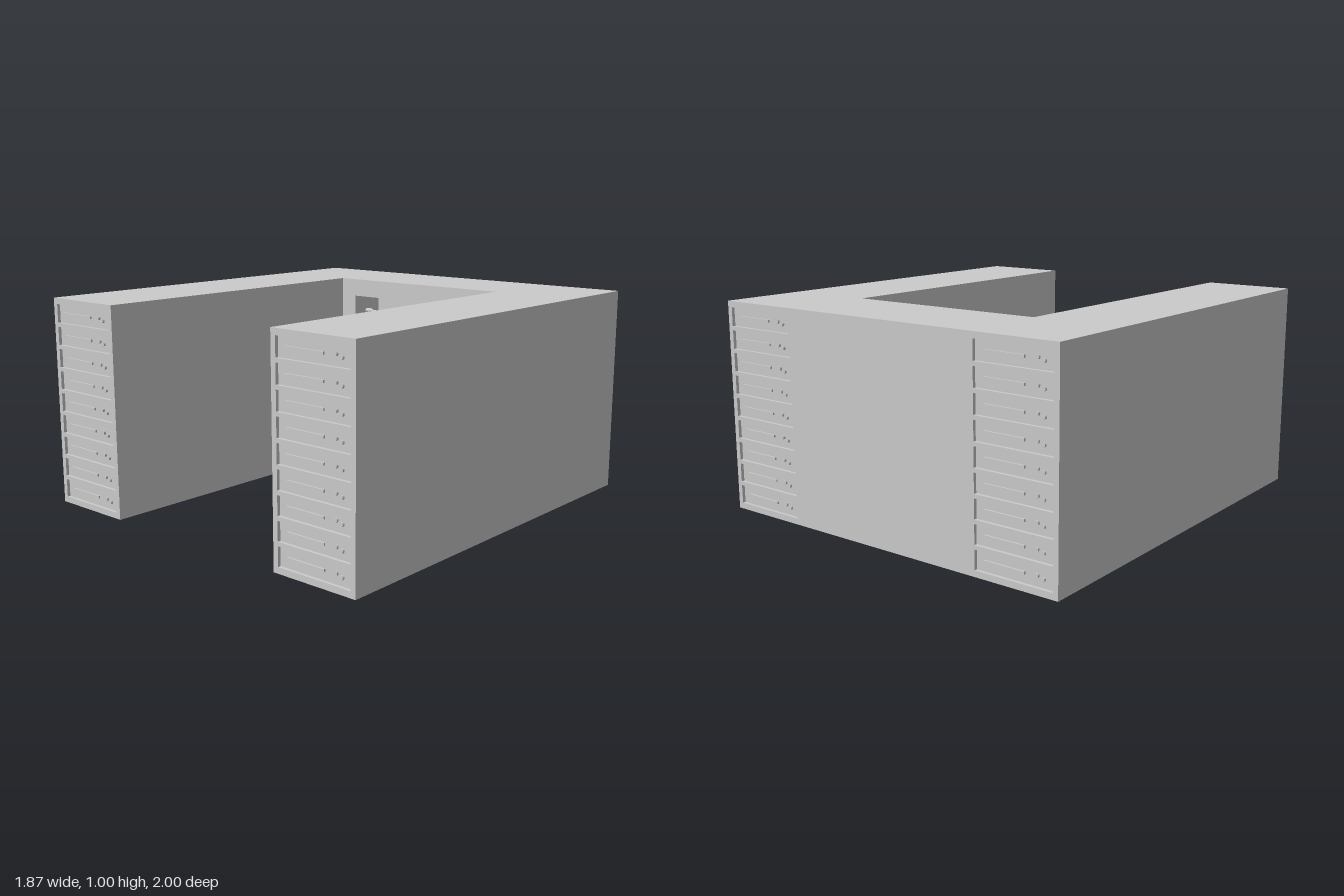
import * as THREE from 'three';

const grey = new THREE.MeshStandardMaterial({ color: 0xcccccc });
const W = 0.935, INNER = 0.5, BACK = -0.57, RECESS = -0.77, BAY = 0.015;
const BAY_X = 0.718, BAY_W = 0.385, BAY_H = 0.088, PITCH = 0.1068;
const ROWS = 9;
const bayY = (i) => 0.073 + i * PITCH;

function add(parent, name, geometry, x = 0, y = 0, z = 0) {
  const mesh = new THREE.Mesh(geometry, grey);
  mesh.name = name;
  mesh.position.set(x, y, z);
  parent.add(mesh);
  return mesh;
}

function rect(Type, x0, x1, y0, y1) {
  const p = new Type();
  p.moveTo(x0, y0);
  p.lineTo(x1, y0);
  p.lineTo(x1, y1);
  p.lineTo(x0, y1);
  p.closePath();
  return p;
}

// Upright plate with rectangular openings
function plate(x0, x1, holes, depth) {
  const shape = rect(THREE.Shape, x0, x1, 0, 1);
  for (const h of holes) shape.holes.push(rect(THREE.Path, ...h));
  return new THREE.ExtrudeGeometry(shape, { depth, bevelEnabled: false });
}

function bayHoles(side) {
  return Array.from({ length: ROWS }, (_, i) => [
    side * BAY_X - BAY_W / 2, side * BAY_X + BAY_W / 2,
    bayY(i) - BAY_H / 2, bayY(i) + BAY_H / 2,
  ]);
}

// Handle strip and knob on the floor of each bay
function bayFittings(side) {
  const g = new THREE.Group();
  g.name = 'bayFittings';
  const strip = new THREE.BoxGeometry(0.2, 0.012, 0.008);
  const knob = new THREE.CylinderGeometry(0.009, 0.009, 0.01, 12).rotateX(Math.PI / 2);
  for (let i = 0; i < ROWS; i++) {
    add(g, 'handleStrip', strip, side * BAY_X - 0.05, bayY(i), 0.004);
    add(g, 'knob', knob, side * BAY_X + 0.11, bayY(i) + 0.004, 0.005);
    add(g, 'knob', knob, side * BAY_X + 0.14, bayY(i) - 0.006, 0.005);
  }
  return g;
}

// Cable through [x, y, z] points, with rounded ends
function cable(parent, points) {
  const pts = points.map(([x, y, z = -0.67]) => new THREE.Vector3(x, y, z));
  const r = 0.007;
  add(parent, 'cable', new THREE.TubeGeometry(new THREE.CatmullRomCurve3(pts), 80, r, 8));
  for (const p of [pts[0], pts[pts.length - 1]])
    add(parent, 'cableEnd', new THREE.SphereGeometry(r, 8, 6), p.x, p.y, p.z);
}

export function createModel() {
  const model = new THREE.Group();
  model.name = 'serverCabinet';

  // U-shaped core, drawn in plan with shape y = -z
  const f = 1 - BAY;
  const core = new THREE.Shape([
    [-W, -f], [-INNER, -f], [-INNER, -RECESS], [INNER, -RECESS],
    [INNER, -f], [W, -f], [W, f], [-W, f],
  ].map(([x, y]) => new THREE.Vector2(x, y)));
  add(model, 'cabinetCore',
    new THREE.ExtrudeGeometry(core, { depth: 1, bevelEnabled: false }).rotateX(-Math.PI / 2));

  // Inner wall with its wide cable opening
  add(model, 'cableWall',
    plate(-INNER, INNER, [[-0.41, 0.41, 0.09, 0.91]], BACK - RECESS), 0, 0, RECESS);

  // Bay frames at the front of both arms and across the back
  add(model, 'backFrame', plate(-W, W, [...bayHoles(-1), ...bayHoles(1)], BAY), 0, 0, -1);
  for (const side of [-1, 1]) {
    const x = [side * INNER, side * W].sort((a, b) => a - b);
    add(model, 'armFrame', plate(x[0], x[1], bayHoles(side), BAY), 0, 0, f);
    const front = bayFittings(side);
    front.position.z = f;
    const back = bayFittings(side);
    back.position.z = -f;
    back.rotation.y = Math.PI;
    model.add(front, back);
  }

  // Sockets on the side walls of the opening
  const body = new THREE.CylinderGeometry(0.013, 0.013, 0.03, 12).rotateZ(Math.PI / 2);
  for (const side of [-1, 1]) {
    const tip = new THREE.CylinderGeometry(0.008, 0.013, 0.015, 12).rotateZ(side * Math.PI / 2);
    for (let i = 0; i < 6; i++) {
      const y = 0.22 + i * 0.12;
      add(model, 'socket', body, side * 0.395, y, -0.67);
      add(model, 'socketTip', tip, side * 0.3725, y, -0.67);
    }
  }

  // Cables: plugged at one or both ends, or lying loose
  const cables = new THREE.Group();
  cables.name = 'cables';
  model.add(cables);
  cable(cables, [[-0.38, 0.82], [-0.3, 0.81], [-0.2, 0.745, -0.65], [-0.12, 0.6, -0.63],
    [-0.04, 0.475, -0.63], [0.05, 0.445, -0.63], [0.15, 0.475, -0.64], [0.25, 0.485],
    [0.31, 0.54], [0.345, 0.66], [0.38, 0.7]]);
  cable(cables, [[-0.38, 0.7], [-0.33, 0.67], [-0.27, 0.55], [-0.21, 0.37, -0.69],
    [-0.15, 0.275, -0.7], [-0.08, 0.265, -0.7], [0.03, 0.3, -0.69], [0.12, 0.32],
    [0.19, 0.275], [0.27, 0.225], [0.38, 0.22]]);
  cable(cables, [[-0.38, 0.58], [-0.32, 0.56], [-0.2, 0.485, -0.69], [-0.06, 0.41, -0.7],
    [0.05, 0.39, -0.7], [0.16, 0.41, -0.7], [0.27, 0.475, -0.69], [0.34, 0.56], [0.38, 0.58]]);
  cable(cables, [[0.38, 0.82], [0.31, 0.77], [0.2, 0.66], [0.08, 0.59, -0.66], [0.03, 0.5, -0.66],
    [-0.01, 0.39, -0.66], [-0.1, 0.25, -0.65], [-0.17, 0.13, -0.65], [-0.21, 0.11, -0.64],
    [-0.28, 0.105, -0.62]]);
  cable(cables, [[-0.36, 0.097, -0.66], [-0.29, 0.115], [-0.22, 0.14], [-0.1, 0.15],
    [-0.03, 0.21], [0.05, 0.285, -0.65], [0.13, 0.315, -0.64], [0.19, 0.28, -0.63],
    [0.22, 0.18, -0.62], [0.27, 0.13, -0.61]]);
  cable(cables, [[0.01, 0.115, -0.62], [-0.06, 0.145, -0.63], [-0.14, 0.195, -0.64],
    [-0.165, 0.27, -0.64], [-0.1, 0.39, -0.62], [0, 0.47, -0.6], [0.1, 0.49, -0.59],
    [0.2, 0.47, -0.58], [0.24, 0.41, -0.565], [0.235, 0.33, -0.535],
    [0.19, 0.275, -0.505], [0.14, 0.275, -0.495]]);

  return model;
}
